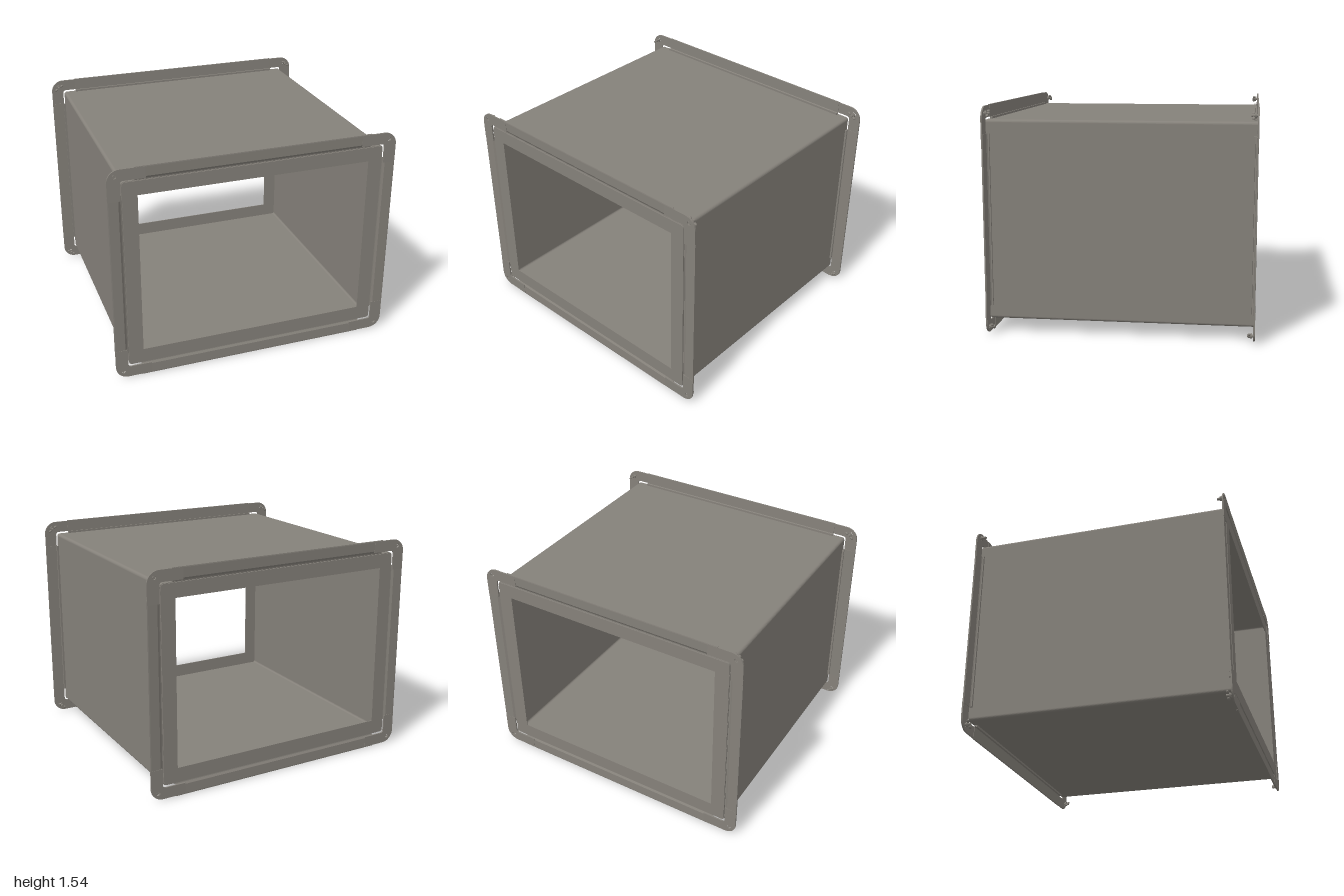
import * as THREE from 'three';

const HW = 0.996, HH = 0.768;   // flange half width, half height
const DW = 0.903, DH = 0.678;   // duct half width, half height
const LIFT = 0.7725, END = 0.9;

const steel = new THREE.MeshStandardMaterial({ color: 0x85817a, side: THREE.DoubleSide });
steel.name = 'galvanised steel';

function add(parent, name, geometry, x = 0, y = 0, z = 0) {
  const mesh = new THREE.Mesh(geometry, steel);
  mesh.name = name;
  mesh.position.set(x, y, z);
  parent.add(mesh);
  return mesh;
}

// Rounded rectangle outline, usable as a shape or as a hole
function roundRect(w, h, r, target = new THREE.Shape()) {
  target.moveTo(-w + r, -h);
  target.lineTo(w - r, -h);
  target.absarc(w - r, -h + r, r, -Math.PI / 2, 0, false);
  target.lineTo(w, h - r);
  target.absarc(w - r, h - r, r, 0, Math.PI / 2, false);
  target.lineTo(-w + r, h);
  target.absarc(-w + r, h - r, r, Math.PI / 2, Math.PI, false);
  target.lineTo(-w, -h + r);
  target.absarc(-w + r, -h + r, r, Math.PI, Math.PI * 1.5, false);
  return target;
}

const extrude = (shape, depth) =>
  new THREE.ExtrudeGeometry(shape, { depth, bevelEnabled: false, curveSegments: 6 });

// L-shaped corner plate for the +x +y quadrant, with a bolt hole
function cornerGeometry() {
  const r = 0.085, s = new THREE.Shape();
  s.moveTo(0.745, 0.69);
  s.lineTo(DW - 0.015, 0.69);
  s.quadraticCurveTo(0.911, 0.69, 0.911, 0.667);
  s.lineTo(0.911, 0.553);
  s.lineTo(HW, 0.553);
  s.lineTo(HW, HH - r);
  s.absarc(HW - r, HH - r, r, 0, Math.PI / 2, false);
  s.lineTo(0.745, HH);
  s.closePath();
  s.holes.push(new THREE.Path().absarc(0.945, 0.722, 0.014, 0, Math.PI * 2, true));
  return extrude(s, 0.01);
}

// Folded rail running along x; profile is (z, height above the duct)
function railGeometry(length) {
  const s = new THREE.Shape();
  [[-0.032, 0], [-0.032, 0.014], [-0.024, 0.014], [-0.022, 0.007], [-0.014, 0.012],
    [-0.012, 0.094], [-0.002, 0.094], [-0.001, 0.087], [-0.003, 0.022], [-0.012, 0.008], [-0.014, 0]]
    .forEach(([z, y], i) => (i ? s.lineTo(-z, y) : s.moveTo(-z, y)));
  const g = extrude(s, length);
  g.translate(0, 0, -length / 2);
  return g.rotateY(Math.PI / 2);
}

// Bolt with a winged nut behind the corner plate
function addBolt(parent) {
  const bolt = new THREE.Group();
  bolt.name = 'cornerBolt';
  bolt.position.set(0.945, 0.722, 0);
  add(bolt, 'boltShank', new THREE.CylinderGeometry(0.009, 0.009, 0.044, 12), 0, 0, 0.872).rotation.x = Math.PI / 2;
  add(bolt, 'nut', new THREE.CylinderGeometry(0.018, 0.018, 0.012, 6), 0, 0, 0.876).rotation.x = Math.PI / 2;
  for (const side of [-1, 1]) {
    const wing = add(bolt, 'nutWing', new THREE.SphereGeometry(0.013, 10, 8), side * 0.02, -side * 0.014, 0.863);
    wing.scale.set(1, 0.6, 0.8);
    wing.rotation.z = -0.6;
  }
  parent.add(bolt);
}

function createFlange(name) {
  const flange = new THREE.Group();
  flange.name = name;

  // Inward lip around the opening
  const lip = roundRect(DW - 0.003, DH - 0.003, 0.018);
  const opening = new THREE.Path();
  opening.moveTo(-0.8, -0.573);
  opening.lineTo(-0.8, 0.577);
  opening.lineTo(0.8, 0.577);
  opening.lineTo(0.8, -0.573);
  opening.closePath();
  lip.holes.push(opening);
  add(flange, 'openingLip', extrude(lip, 0.006), 0, 0, END - 0.01);

  // Four rails
  for (let i = 0; i < 4; i++) {
    const side = i % 2 === 1;
    const holder = new THREE.Group();
    holder.name = 'railHolder';
    holder.rotation.z = i * Math.PI / 2;
    const length = side ? 1.17 : 1.63;
    // the profile is extruded with its z mirrored, so turn it face outward
    const rail = add(holder, 'flangeRail', railGeometry(length), 0, side ? DW : DH, END);
    rail.geometry.computeBoundingBox();
    if (rail.geometry.boundingBox.max.z > 0.01) rail.rotation.y = Math.PI;
    flange.add(holder);
  }

  // Four corner plates with bolts
  for (const sx of [-1, 1]) for (const sy of [-1, 1]) {
    const corner = new THREE.Group();
    corner.name = 'flangeCorner';
    corner.scale.set(sx, sy, 1);
    add(corner, 'cornerPlate', cornerGeometry(), 0, 0, END - 0.01);
    addBolt(corner);
    flange.add(corner);
  }
  return flange;
}

export function createModel() {
  const model = new THREE.Group();
  model.name = 'ductSection';
  const body = new THREE.Group();
  body.name = 'ductAssembly';
  body.position.y = LIFT;
  model.add(body);

  // Thin-walled rectangular duct
  const wall = roundRect(DW, DH, 0.02);
  wall.holes.push(roundRect(DW - 0.006, DH - 0.006, 0.014, new THREE.Path()));
  add(body, 'ductWalls', extrude(wall, 2 * (END - 0.01)), 0, 0, -(END - 0.01));

  // Matching flanges at both ends
  const front = createFlange('frontFlange');
  const back = createFlange('backFlange');
  back.rotation.y = Math.PI;
  body.add(front, back);
  return model;
}
